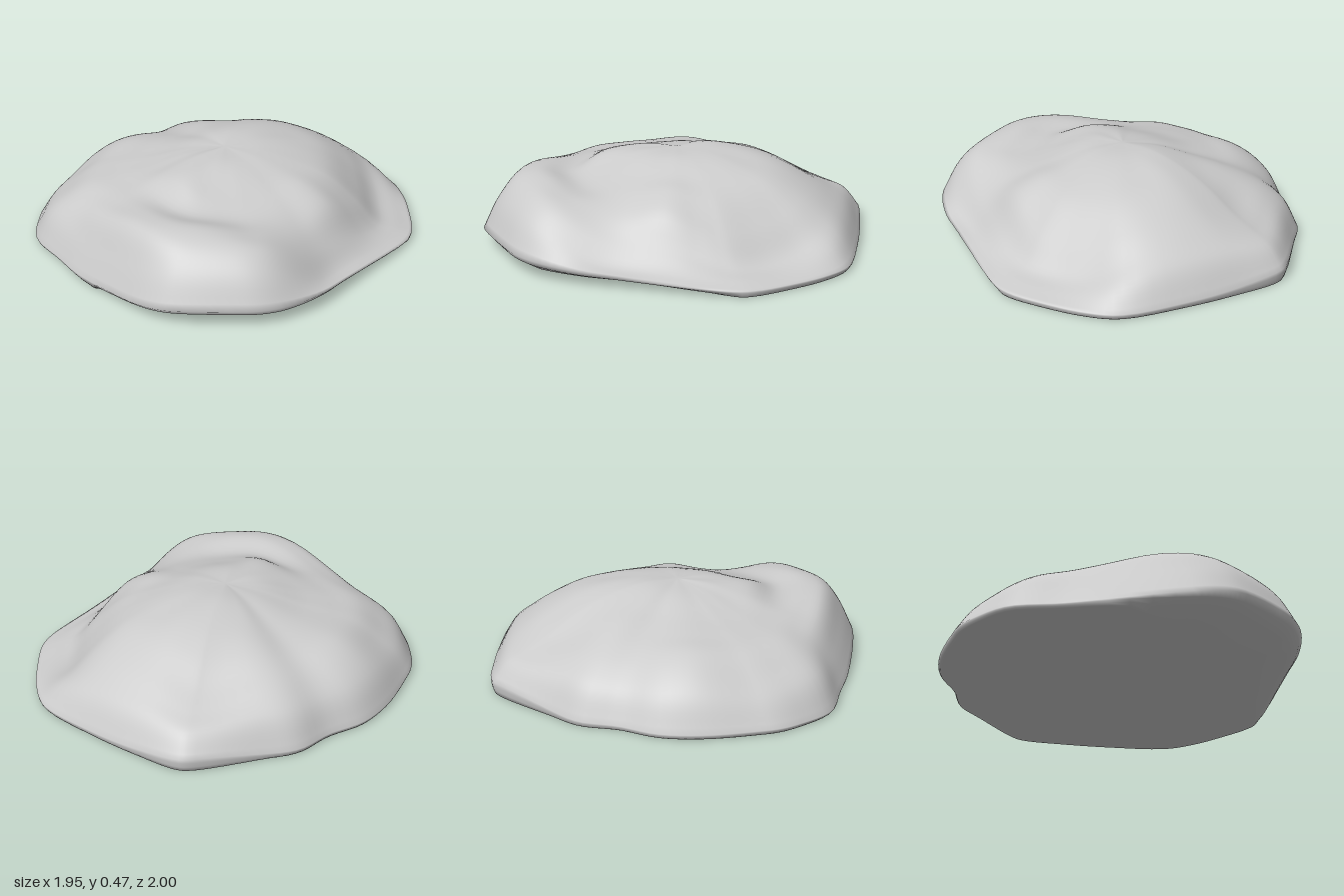
import * as THREE from 'three';
import { mergeVertices } from 'three/addons/utils/BufferGeometryUtils.js';

// Plan outline of the stone (x, z), running from +x towards +z
const OUTLINE = [
  [0.975, -0.05], [0.95, 0.06], [0.88, 0.2], [0.8, 0.34], [0.7, 0.52], [0.6, 0.7], [0.47, 0.85],
  [0.35, 0.93], [0.2, 0.97], [-0.05, 1], [-0.16, 0.98], [-0.28, 0.92], [-0.6, 0.67], [-0.75, 0.52],
  [-0.92, 0.35], [-0.97, 0.15], [-0.975, 0.03], [-0.95, -0.08], [-0.87, -0.32], [-0.76, -0.5],
  [-0.6, -0.63], [-0.47, -0.78], [-0.3, -0.86], [0, -0.99], [0.08, -1], [0.3, -0.91], [0.55, -0.78],
  [0.82, -0.6], [0.9, -0.45], [0.95, -0.25],
];

// Heights along 16 spokes, at these fractions of the way to the rim
const FRACTIONS = [0.2, 0.4, 0.55, 0.7, 0.82, 0.92, 1];
const CENTRE_HEIGHT = 0.46;
const FRONT_LIMIT = 0.73; // the ground contact ends here, the nose overhangs
const HEIGHTS = [
  [0.45, 0.395, 0.335, 0.21, 0.085, 0.055, 0.035],
  [0.45, 0.4, 0.37, 0.3, 0.16, 0.075, 0.05],
  [0.445, 0.385, 0.34, 0.275, 0.19, 0.1, 0.075],
  [0.445, 0.375, 0.335, 0.335, 0.32, 0.24, 0.1],
  [0.45, 0.39, 0.35, 0.38, 0.35, 0.255, 0.1],
  [0.45, 0.425, 0.355, 0.37, 0.35, 0.21, 0.06],
  [0.45, 0.41, 0.36, 0.33, 0.29, 0.16, 0.025],
  [0.435, 0.375, 0.34, 0.31, 0.25, 0.165, 0.02],
  [0.43, 0.37, 0.34, 0.3, 0.22, 0.14, 0.025],
  [0.435, 0.38, 0.35, 0.325, 0.265, 0.175, 0.025],
  [0.44, 0.385, 0.345, 0.3, 0.24, 0.16, 0.025],
  [0.455, 0.41, 0.37, 0.31, 0.25, 0.175, 0.035],
  [0.465, 0.42, 0.355, 0.265, 0.21, 0.165, 0.07],
  [0.465, 0.44, 0.395, 0.32, 0.25, 0.175, 0.04],
  [0.46, 0.425, 0.385, 0.31, 0.23, 0.15, 0.03],
  [0.455, 0.41, 0.345, 0.22, 0.1, 0.06, 0.03],
];

// Smooth periodic height for a given angle and ring
function heightAt(angle, ring) {
  const n = HEIGHTS.length;
  const s = ((angle / (2 * Math.PI)) * n + n) % n;
  const i = Math.floor(s), f = s - i;
  const h = (k) => HEIGHTS[(i + k + n) % n][ring];
  const m0 = (h(1) - h(-1)) / 2, m1 = (h(2) - h(0)) / 2;
  const f2 = f * f, f3 = f2 * f;
  return (2 * f3 - 3 * f2 + 1) * h(0) + (f3 - 2 * f2 + f) * m0 + (3 * f2 - 2 * f3) * h(1) + (f3 - f2) * m1;
}

// Closed smooth surface through radial spokes of points
function skin(spokes) {
  const rows = spokes[0].length, pos = [], index = [];
  spokes.forEach((spoke, i) => {
    const next = (i + 1) % spokes.length;
    spoke.forEach((p, j) => {
      pos.push(p.x, p.y, p.z);
      if (j === rows - 1) return;
      const a = i * rows + j, c = next * rows + j;
      index.push(a, c, a + 1, c, c + 1, a + 1);
    });
  });
  const geo = new THREE.BufferGeometry();
  geo.setAttribute('position', new THREE.Float32BufferAttribute(pos, 3));
  geo.setIndex(index);
  const merged = mergeVertices(geo, 1e-5);
  merged.computeVertexNormals();
  return merged;
}

export function createModel() {
  const group = new THREE.Group();
  group.name = 'rock';
  const outline = new THREE.CatmullRomCurve3(
    OUTLINE.map(([x, z]) => new THREE.Vector3(x, 0, z)), true);

  const spokes = [];
  for (let i = 0; i < 128; i++) {
    const { x, z } = outline.getPoint(i / 128);
    const angle = Math.atan2(z, x);
    const at = (t, y) => new THREE.Vector3(x * t, y, z * t);

    // Upper surface, from the crown out to the rim
    const profile = [at(0, CENTRE_HEIGHT), ...FRACTIONS.map((t, k) => at(t, heightAt(angle, k)))];
    const upper = new THREE.CatmullRomCurve3(profile).getPoints(35);

    // Underside, cut back below the nose and the front flank, then flat on the ground
    const rim = heightAt(angle, FRACTIONS.length - 1);
    const flank = 0.4 * Math.max(0, Math.cos(angle)) * Math.max(0, Math.sin(angle));
    const inset = Math.max(0.012 + flank, z > FRONT_LIMIT ? 1 - FRONT_LIMIT / z : 0);
    spokes.push([...upper, at(1 - inset * 0.1, rim * 0.7), at(1 - inset * 0.4, rim * 0.35),
      at(1 - inset, 0), at(0.97 - inset, 0), at(0, 0)]);
  }

  const stone = new THREE.Mesh(skin(spokes), new THREE.MeshStandardMaterial({ color: 0xcccccc }));
  stone.name = 'stone';
  group.add(stone);
  return group;
}
